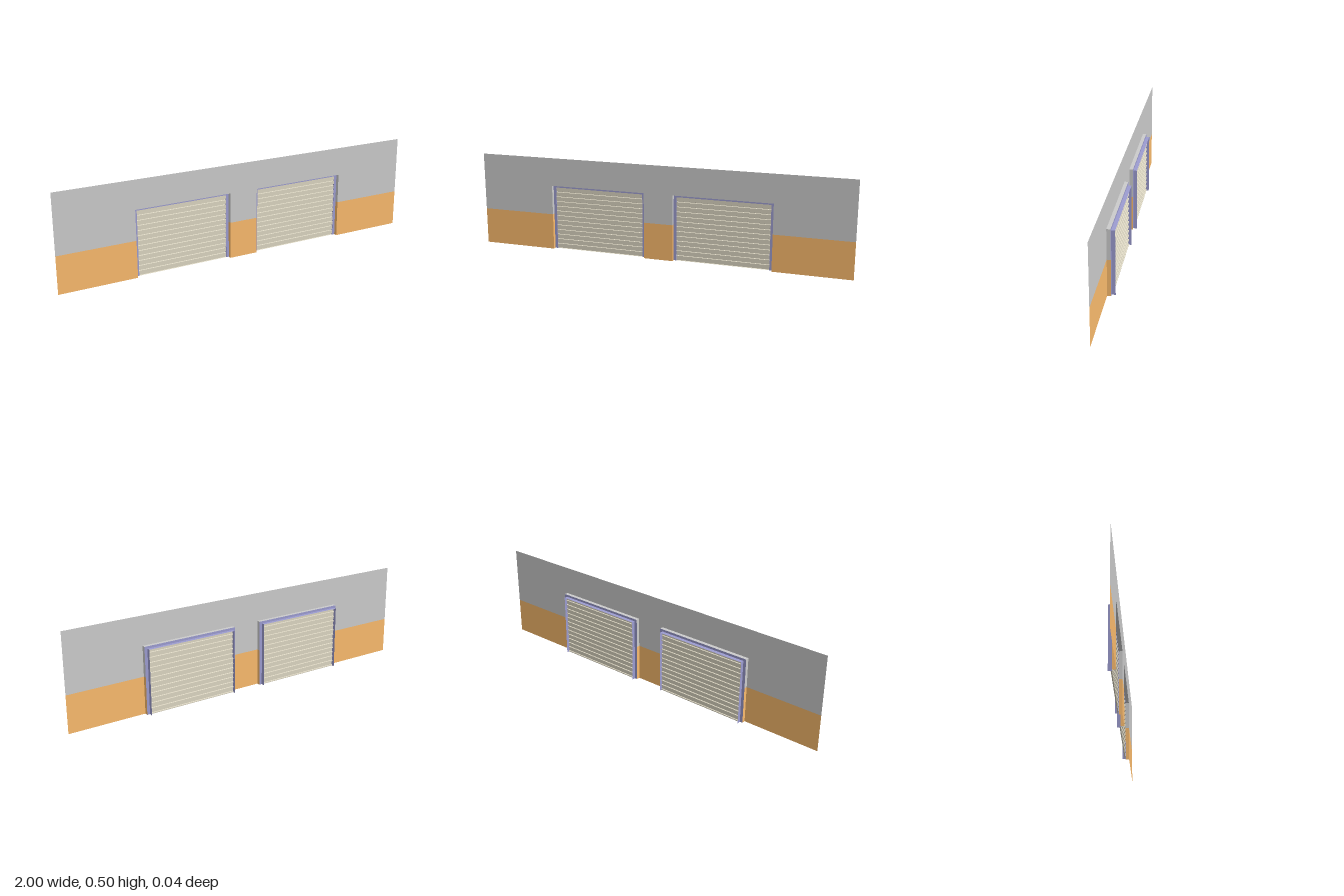
import * as THREE from 'three';

const mat = (color, flatShading = false) =>
  new THREE.MeshStandardMaterial({ color, flatShading, side: THREE.DoubleSide });
const grey = mat(0xcccccc), orange = mat(0xfabb6d), blue = mat(0x9c9cd0), slatMat = mat(0xdcd6c2, true);

const H = 0.5, SPLIT = 0.193;            // wall height, paint line
const IN = 0.078, OUT = 0.597, TOP = 0.35; // doorway edges and head
const RIM = 0.015, RIM_TOP = 0.338;      // frame flange width, frame head
const FRONT = 0.019, MID = 0, BACK = -0.019;

function add(parent, name, geometry, material, x = 0, y = 0, z = 0) {
  const mesh = new THREE.Mesh(geometry, material);
  mesh.name = name;
  mesh.position.set(x, y, z);
  parent.add(mesh);
  return mesh;
}

const polygon = (pts) => new THREE.ShapeGeometry(new THREE.Shape(pts.map(([x, y]) => new THREE.Vector2(x, y))));

// Thin upright strip running from z0 to z1 at a given x
function sideStrip(parent, name, material, x, y0, y1, z0, z1) {
  const g = new THREE.PlaneGeometry(z0 - z1, y1 - y0).rotateY(x < 0 ? Math.PI / 2 : -Math.PI / 2);
  add(parent, name, g, material, x, (y0 + y1) / 2, (z0 + z1) / 2);
}

// Thin level strip across the head of the doorway
function headStrip(parent, name, material, w, y, z0, z1) {
  add(parent, name, new THREE.PlaneGeometry(w, z0 - z1).rotateX(Math.PI / 2), material, 0, y, (z0 + z1) / 2);
}

// Roller curtain: flat slats separated by recessed grooves
function curtainGeometry(w, h, slats) {
  const g = new THREE.PlaneGeometry(w, h, 1, slats * 4);
  const p = g.attributes.position, pitch = h / slats;
  const steps = [[0, 0], [0.7, 0], [0.76, -0.005], [0.94, -0.005]]; // [share of pitch, depth]
  for (let i = 0; i < p.count; i++) {
    const row = Math.floor(i / 2), [t, z] = steps[row % 4];
    p.setY(i, h - (Math.floor(row / 4) + t) * pitch);
    p.setZ(i, z);
  }
  g.computeVertexNormals();
  return g;
}

function doorway(name) {
  const door = new THREE.Group();
  door.name = name;
  const half = (OUT - IN) / 2, inner = half - RIM;

  // Wall reveal and frame returns on both sides
  for (const s of [-1, 1]) {
    sideStrip(door, 'lowerReveal', orange, s * half, 0, SPLIT, FRONT, MID);
    sideStrip(door, 'upperReveal', grey, s * half, SPLIT, TOP, FRONT, MID);
    sideStrip(door, 'guideRail', blue, s * inner, 0, RIM_TOP, MID, BACK);
  }
  headStrip(door, 'headReveal', grey, half * 2, TOP, FRONT, MID);
  headStrip(door, 'headRail', blue, inner * 2, RIM_TOP, MID, BACK);

  // Frame flange around the curtain
  add(door, 'frameFlange', polygon([
    [-half, 0], [-inner, 0], [-inner, RIM_TOP], [inner, RIM_TOP],
    [inner, 0], [half, 0], [half, TOP], [-half, TOP],
  ]), blue, 0, 0, MID);

  add(door, 'rollerCurtain', curtainGeometry(inner * 2, RIM_TOP, 13), slatMat, 0, 0, MID - 0.001);
  return door;
}

export function createModel() {
  const model = new THREE.Group();
  model.name = 'garageWall';

  // Upper wall, notched over both doorways
  add(model, 'upperWall', polygon([
    [-1, SPLIT], [-OUT, SPLIT], [-OUT, TOP], [-IN, TOP], [-IN, SPLIT],
    [IN, SPLIT], [IN, TOP], [OUT, TOP], [OUT, SPLIT], [1, SPLIT], [1, H], [-1, H],
  ]), grey, 0, 0, FRONT);

  // Painted lower wall panels
  for (const [a, b] of [[-1, -OUT], [-IN, IN], [OUT, 1]]) {
    add(model, 'lowerWall', new THREE.PlaneGeometry(b - a, SPLIT), orange, (a + b) / 2, SPLIT / 2, FRONT);
  }

  for (const [name, s] of [['leftDoorway', 1], ['rightDoorway', -1]]) {
    const door = doorway(name);
    door.position.x = s * (IN + OUT) / 2;
    model.add(door);
  }
  return model;
}
